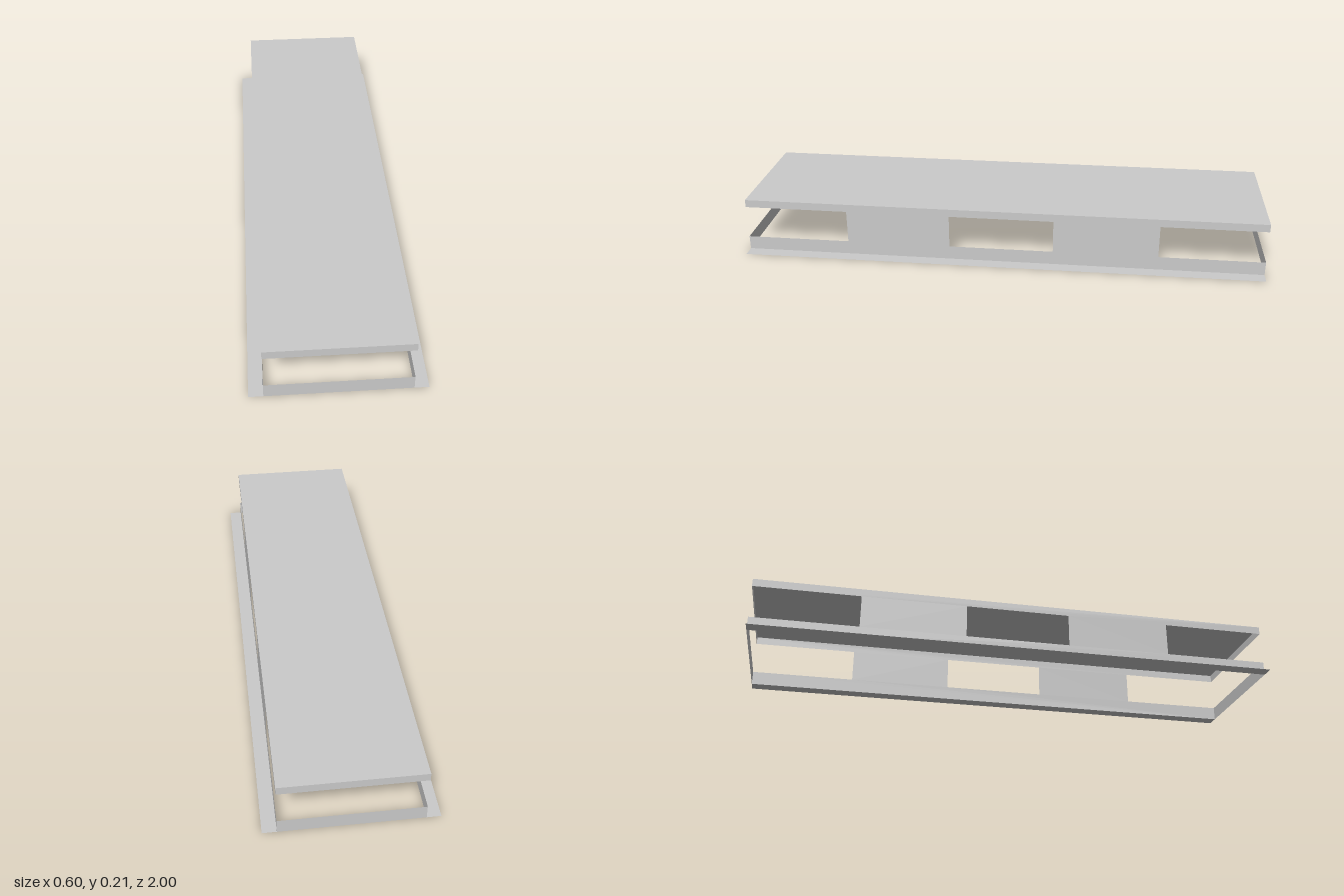
import * as THREE from 'three';

const HALF_W = 0.25, FLANGE = 0.05, LEN = 2, TOP = 0.21;
const SILL = 0.053, LINTEL = 0.18; // window bottom and top heights

export function createModel() {
  const model = new THREE.Group();
  const sheet = new THREE.MeshStandardMaterial({ color: 0xcccccc, side: THREE.DoubleSide, flatShading: true });

  const add = (name, geometry, x, y, z, rx = 0, ry = 0) => {
    const mesh = new THREE.Mesh(geometry, sheet);
    mesh.name = name;
    mesh.position.set(x, y, z);
    mesh.rotation.set(rx, ry, 0);
    model.add(mesh);
  };

  // Flat top deck
  add('topPanel', new THREE.PlaneGeometry(2 * HALF_W, LEN), 0, TOP, 0, -Math.PI / 2);

  // Side wall outline: notched at both ends, with a window in the middle
  const e = LEN / 2;
  const outline = [
    [-e, 0], [e, 0], [e, SILL], [0.6, SILL], [0.6, LINTEL], [e, LINTEL],
    [e, TOP], [-e, TOP], [-e, LINTEL], [-0.6, LINTEL], [-0.6, SILL], [-e, SILL],
  ];
  const window_ = [[-0.2, SILL], [-0.2, LINTEL], [0.2, LINTEL], [0.2, SILL]];
  const toPoints = (list) => list.map(([u, v]) => new THREE.Vector2(u, v));
  const wall = new THREE.Shape(toPoints(outline));
  wall.holes.push(new THREE.Path(toPoints(window_)));

  // Side walls with outward foot flanges
  for (const [side, s] of [['left', 1], ['right', -1]]) {
    add(side + 'Wall', new THREE.ShapeGeometry(wall), s * HALF_W, 0, 0, 0, s * Math.PI / 2);
    add(side + 'Flange', new THREE.PlaneGeometry(FLANGE, LEN), s * (HALF_W + FLANGE / 2), 0, 0, -Math.PI / 2);
  }

  // End strips above and below the open ends
  for (const [end, s] of [['front', 1], ['back', -1]]) {
    for (const [level, y0, y1] of [['Lower', 0, SILL], ['Upper', LINTEL, TOP]]) {
      add(end + level + 'Strip', new THREE.PlaneGeometry(2 * HALF_W, y1 - y0),
        0, (y0 + y1) / 2, s * e, 0, s > 0 ? 0 : Math.PI);
    }
  }
  return model;
}
